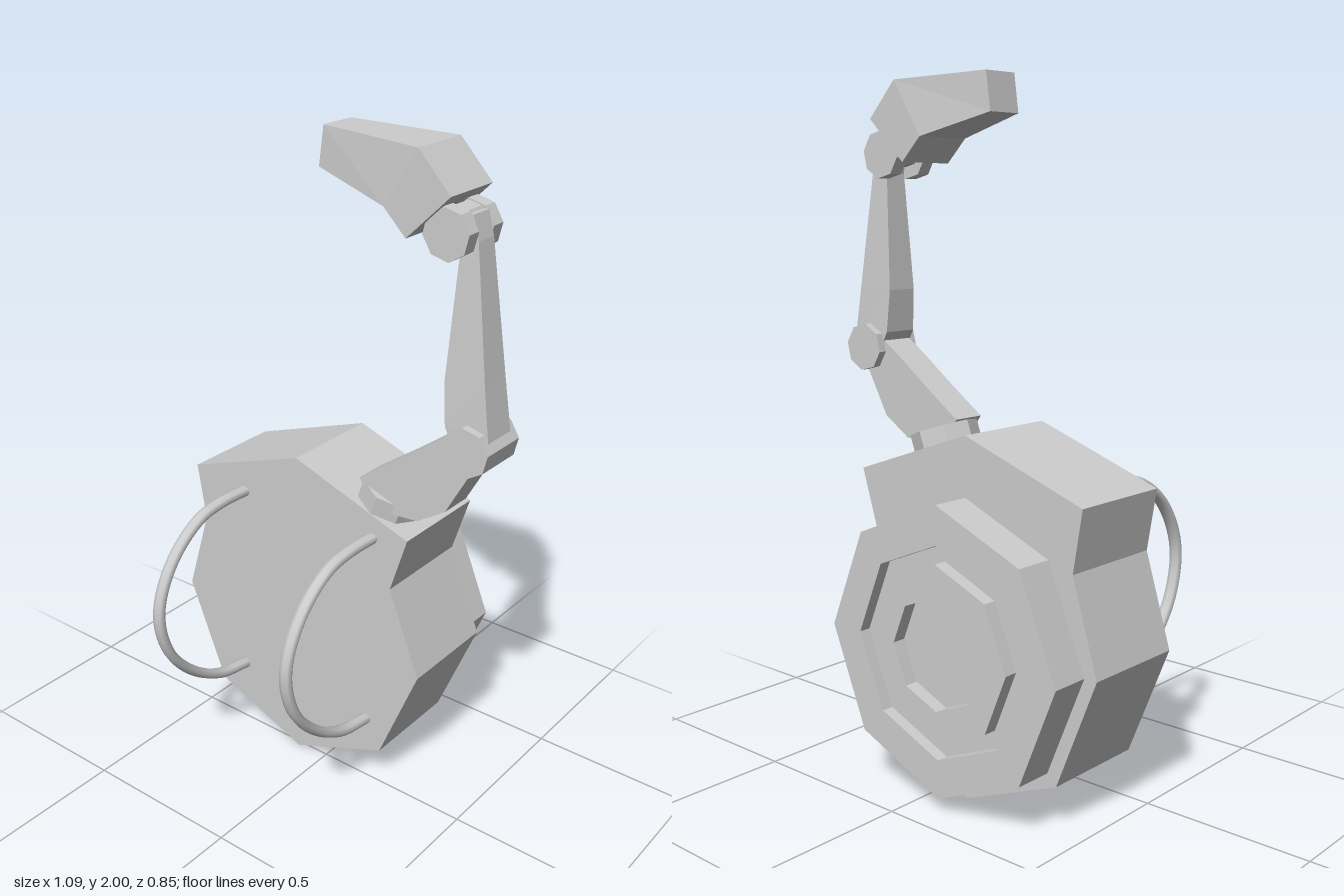
import * as THREE from 'three';

export function createModel() {
  const root = new THREE.Group();
  root.name = 'backpackWithArm';
  const grey = new THREE.MeshStandardMaterial({ color: 0xcccccc });
  grey.name = 'light grey';

  const add = (name, geo, parent = root) => {
    const m = new THREE.Mesh(geo, grey);
    m.name = name;
    parent.add(m);
    return m;
  };
  const flat = (geo) => {
    const g = geo.index ? geo.toNonIndexed() : geo;
    g.computeVertexNormals();
    return g;
  };
  // Outline in x/y extruded between two depths, with an optional hole
  const plate = (pts, z0, z1, hole) => {
    const shape = new THREE.Shape(pts.map(p => new THREE.Vector2(...p)));
    if (hole) shape.holes.push(new THREE.Path(hole.map(p => new THREE.Vector2(...p))));
    return new THREE.ExtrudeGeometry(shape, { depth: z1 - z0, bevelEnabled: false }).translate(0, 0, z0);
  };
  const CX = -0.1, CY = 0.455;
  const octagon = (r) => Array.from({ length: 8 }, (_, i) => {
    const a = i * Math.PI / 4;
    return [CX + r * Math.cos(a), CY + r * Math.sin(a)];
  });

  // Pack body
  add('packBody', plate([
    [-0.1, 1.035], [-0.5, 0.895], [-0.47, 0.72], [-0.55, 0.455], [-0.42, 0.135],
    [-0.1, 0.005], [0.22, 0.135], [0.35, 0.455], [0.245, 0.72], [0.3, 0.895],
  ], -0.305, 0.017));

  // Stepped octagonal rings on the back
  add('outerRing', plate(octagon(0.41), -0.42, -0.3, octagon(0.3)));
  add('grooveFloor', plate(octagon(0.305), -0.385, -0.3));
  add('middleRing', plate(octagon(0.25), -0.425, -0.38, octagon(0.16)));

  // Shoulder straps
  const strapPath = new THREE.CatmullRomCurve3([
    [0.865, 0], [0.867, 0.13], [0.85, 0.22], [0.775, 0.325], [0.67, 0.39], [0.58, 0.404],
    [0.46, 0.37], [0.35, 0.28], [0.275, 0.16], [0.25, 0.035],
  ].map(([y, z]) => new THREE.Vector3(0, y, z)));
  for (const [name, x] of [['rightStrap', -0.305], ['leftStrap', 0.178]]) {
    const strap = new THREE.Group();
    strap.name = name;
    strap.position.x = x;
    root.add(strap);
    add('strapBand', new THREE.TubeGeometry(strapPath, 48, 0.016, 8).scale(1.25, 1, 1), strap);
    // End caps
    [[0, -1], [1, 1]].forEach(([t, s]) => {
      const cap = add('strapEnd', new THREE.CircleGeometry(0.016, 8).scale(1.25, 1, 1), strap);
      const p = strapPath.getPointAt(t);
      cap.position.copy(p);
      cap.lookAt(p.clone().addScaledVector(strapPath.getTangentAt(t), s).add(new THREE.Vector3(x, 0, 0)));
    });
  }

  // Robotic arm
  const ARM_Z = -0.058;
  const arm = new THREE.Group();
  arm.name = 'arm';
  arm.position.z = ARM_Z;
  root.add(arm);

  // Loft of rectangular sections: [left point, right point, half width]
  const loft = (sections) => {
    const pos = [], idx = [];
    for (const [a, b, w] of sections) {
      pos.push(a[0], a[1], w, b[0], b[1], w, b[0], b[1], -w, a[0], a[1], -w);
    }
    const n = sections.length;
    for (let s = 0; s < n - 1; s++) {
      for (let i = 0; i < 4; i++) {
        const j = (i + 1) % 4, p = s * 4, q = p + 4;
        idx.push(p + i, p + j, q + j, p + i, q + j, q + i);
      }
    }
    const e = (n - 1) * 4;
    idx.push(0, 2, 1, 0, 3, 2, e, e + 1, e + 2, e, e + 2, e + 3);
    const g = new THREE.BufferGeometry();
    g.setAttribute('position', new THREE.Float32BufferAttribute(pos, 3));
    g.setIndex(idx);
    return flat(g);
  };
  const joint = (x, y, z, r, depth) =>
    flat(new THREE.CylinderGeometry(r, r, depth, 8).rotateX(Math.PI / 2).rotateZ(0.15)).translate(x, y, z);

  // Tilted turntable on the sloping top of the pack
  const base = add('armBase', flat(new THREE.CylinderGeometry(0.1, 0.1, 0.09, 8)), arm);
  base.position.set(0.175, 0.955, -0.027);
  base.rotation.z = -Math.atan2(0.14, 0.4);

  add('lowerArm', loft([
    [[0.115, 1.03], [0.17, 0.945], 0.052],
    [[0.25, 1.125], [0.315, 0.955], 0.052],
    [[0.33, 1.185], [0.405, 1.013], 0.052],
    [[0.42, 1.247], [0.484, 1.156], 0.052],
  ]), arm);
  add('elbowJoint', joint(0.474, 1.217, 0, 0.071, 0.155), arm);
  add('upperArm', loft([
    [[0.43, 1.2], [0.51, 1.2], 0.055],
    [[0.395, 1.265], [0.53, 1.25], 0.055],
    [[0.385, 1.39], [0.508, 1.4], 0.05],
    [[0.405, 1.73], [0.458, 1.77], 0.035],
    [[0.39, 1.83], [0.44, 1.835], 0.035],
  ]), arm);

  // Forked wrist joint
  for (const s of [-1, 1]) add('wristDisc', joint(0.388, 1.785, s * 0.056, 0.07, 0.043), arm);
  add('wristCore', joint(0.388, 1.8, 0, 0.05, 0.08), arm);

  // Tapered hand
  add('hand', loft([
    [[-0.01, 2.0], [-0.025, 1.89], 0.058],
    [[0.31, 1.99], [0.21, 1.83], 0.094],
    [[0.41, 1.885], [0.28, 1.76], 0.094],
  ]), arm);

  return root;
}
